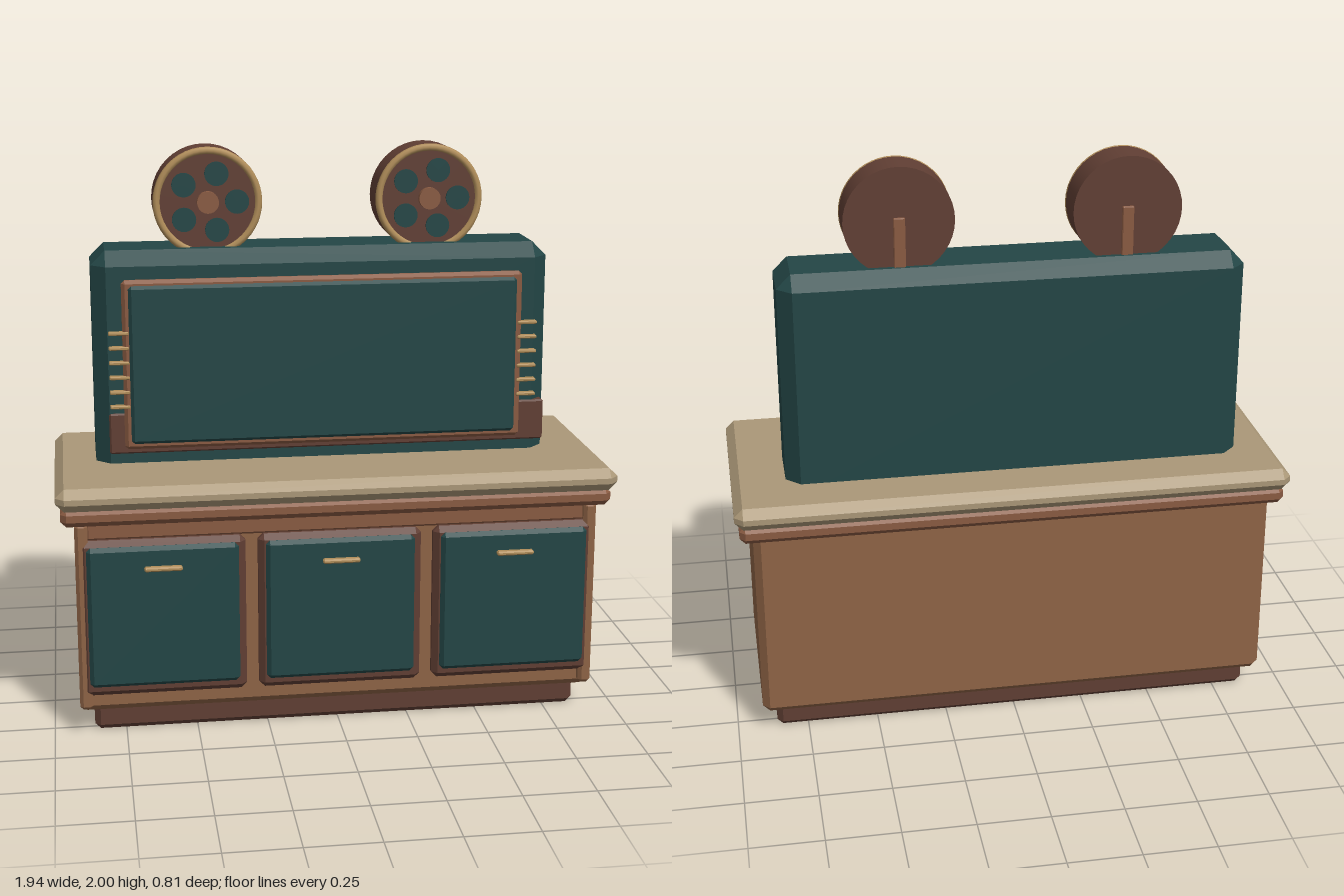
import * as THREE from 'three';
import { ConvexGeometry } from 'three/addons/geometries/ConvexGeometry.js';

const mat = (name, color) => {
  const m = new THREE.MeshStandardMaterial({ color });
  m.name = name;
  return m;
};

// Box given by its limits, with every edge cut by a flat chamfer
function chamferBox([x0, x1], [y0, y1], [z0, z1], c) {
  const h = [(x1 - x0) / 2, (y1 - y0) / 2, (z1 - z0) / 2];
  const points = [];
  for (const sx of [-1, 1]) for (const sy of [-1, 1]) for (const sz of [-1, 1])
    for (let full = 0; full < 3; full++) {
      const [a, b, d] = h.map((v, i) => (i === full ? v : v - c));
      points.push(new THREE.Vector3(sx * a, sy * b, sz * d));
    }
  return new ConvexGeometry(points).translate((x0 + x1) / 2, (y0 + y1) / 2, (z0 + z1) / 2);
}

export function createModel() {
  const teal = mat('deep teal', 0x234646);
  const wood = mat('warm wood', 0x8f6446);
  const trim = mat('reddish wood trim', 0x8a5b42);
  const dark = mat('dark brown', 0x613f34);
  const stone = mat('tan counter', 0xab9878);
  const gold = mat('dull gold', 0xb08d59);

  const model = new THREE.Group();
  model.name = 'mediaCabinet';

  const add = (parent, name, geometry, material) => {
    const mesh = new THREE.Mesh(geometry, material);
    mesh.name = name;
    parent.add(mesh);
    return mesh;
  };
  const box = (name, material, x, y, z, c, parent = model) =>
    add(parent, name, chamferBox(x, y, z, c), material);
  // Disc or drum whose axis runs along z
  const drum = (parent, name, material, r, z0, z1, x = 0, y = 0, sides = 40) =>
    add(parent, name, new THREE.CylinderGeometry(r, r, z1 - z0, sides)
      .rotateX(Math.PI / 2).translate(x, y, (z0 + z1) / 2), material);

  // Lower cabinet
  box('plinth', dark, [-0.86, 0.86], [0, 0.1], [-0.305, 0.29], 0.02);
  box('cabinetBody', wood, [-0.91, 0.91], [0.08, 0.79], [-0.345, 0.315], 0.025);
  box('counterTrim', trim, [-0.955, 0.955], [0.77, 0.835], [-0.375, 0.37], 0.02);
  box('counterTop', stone, [-0.97, 0.97], [0.83, 0.91], [-0.405, 0.405], 0.03);
  box('topRail', trim, [-0.87, 0.87], [0.71, 0.78], [0.29, 0.325], 0.008);
  for (const s of [-1, 1]) {
    const xs = [s * 0.865, s * 0.91].sort((a, b) => a - b);
    box('cornerPost', wood, xs, [0.1, 0.775], [0.28, 0.345], 0.012);
  }

  // Three doors with handles
  for (const x of [-0.613, 0, 0.613]) {
    const door = new THREE.Group();
    door.name = 'door';
    door.position.x = x;
    model.add(door);
    box('doorFrame', dark, [-0.285, 0.285], [0.15, 0.712], [0.29, 0.35], 0.02, door);
    box('doorPanel', teal, [-0.26, 0.26], [0.187, 0.692], [0.3, 0.365], 0.014, door);
    box('doorHandle', gold, [-0.065, 0.065], [0.608, 0.624], [0.36, 0.385], 0.005, door);
  }

  // Upright screen housing
  box('screenHousing', teal, [-0.823, 0.782], [0.82, 1.655], [-0.215, 0.075], 0.05);
  box('lowerBand', dark, [-0.775, 0.775], [0.945, 1.09], [-0.172, 0.082], 0.006);
  box('screenFrame', trim, [-0.722, 0.685], [0.962, 1.56], [0.04, 0.094], 0.012);
  box('screen', teal, [-0.7, 0.665], [0.982, 1.542], [0.05, 0.105], 0.012);

  // Gold ridges on both sides of the screen
  for (const x of [-0.735, 0.705])
    for (let i = 0; i < 6; i++) {
      const y = 1.116 + i * 0.052;
      box('sideRidge', gold, [x - 0.035, x + 0.035], [y - 0.006, y + 0.006], [0.06, 0.098], 0.003);
    }

  // Two reels standing on the housing
  for (const x of [-0.413, 0.365]) {
    const reel = new THREE.Group();
    reel.name = 'reel';
    reel.position.set(x, 1.81, 0);
    model.add(reel);
    drum(reel, 'reelDrum', dark, 0.188, -0.147, -0.012);
    add(reel, 'reelRim', new THREE.TorusGeometry(0.177, 0.013, 8, 48).translate(0, 0, -0.015), gold);
    drum(reel, 'reelHub', trim, 0.038, -0.02, 0.01, 0, 0, 24);
    for (let i = 0; i < 5; i++) {
      const a = (i * Math.PI * 2) / 5;
      drum(reel, 'reelHole', teal, 0.042, -0.014, -0.006, Math.cos(a) * 0.102, Math.sin(a) * 0.102, 24);
    }
    box('reelBracket', trim, [-0.02, 0.02], [-0.2, 0.015], [-0.157, -0.12], 0.003, reel);
  }

  return model;
}
